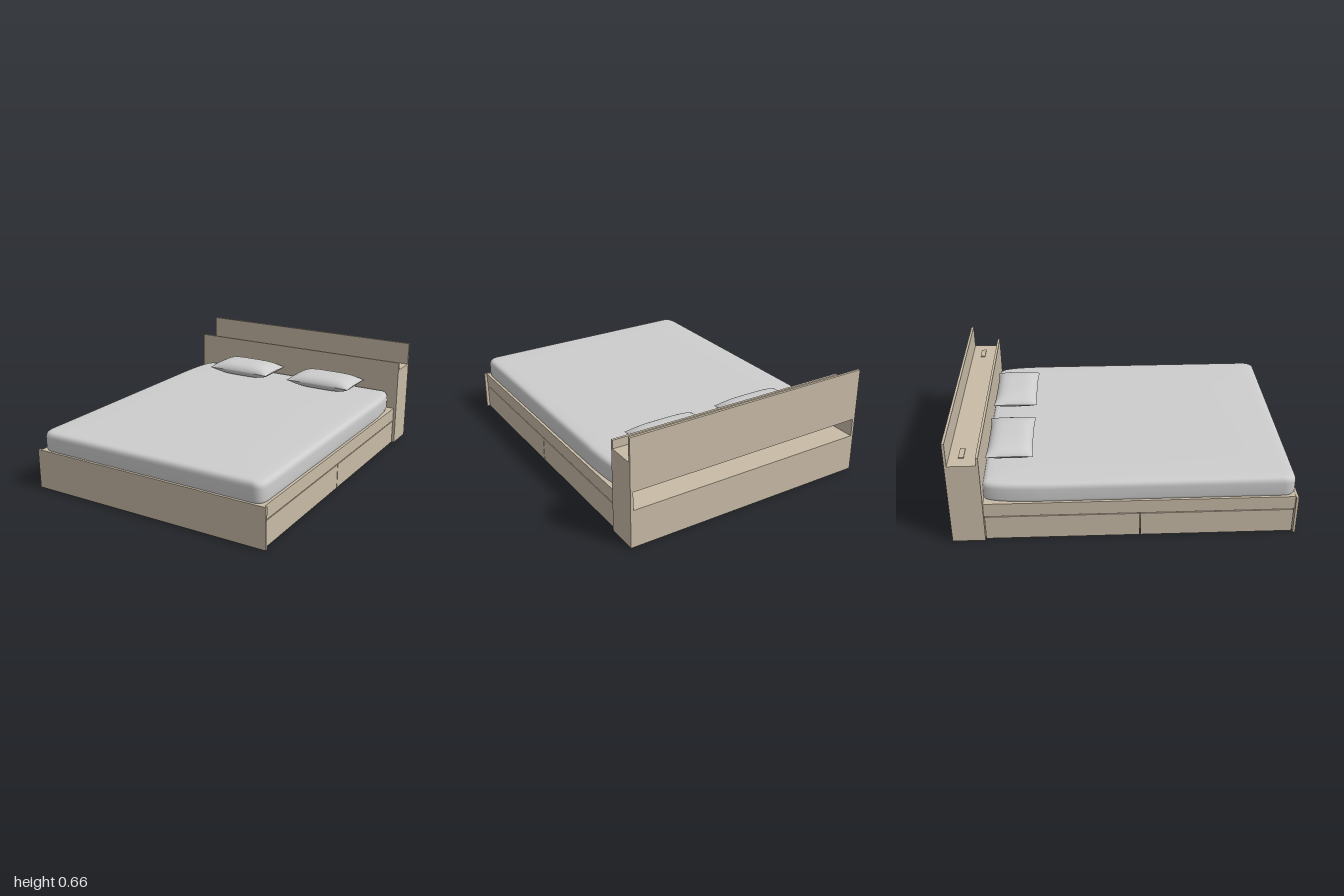
import * as THREE from 'three';
import { mergeGeometries } from 'three/addons/utils/BufferGeometryUtils.js';

const wood = new THREE.MeshStandardMaterial({ color: 0xc8bba6 });
wood.name = 'light wood';
const linen = new THREE.MeshStandardMaterial({ color: 0xcdcdcd });
linen.name = 'pale grey linen';

// Board given by its lower and upper limits on each axis
function board(parent, name, x0, x1, y0, y1, z0, z1) {
  const mesh = new THREE.Mesh(new THREE.BoxGeometry(x1 - x0, y1 - y0, z1 - z0), wood);
  mesh.position.set((x0 + x1) / 2, (y0 + y1) / 2, (z0 + z1) / 2);
  mesh.name = name;
  parent.add(mesh);
}

function group(parent, name) {
  const g = new THREE.Group();
  g.name = name;
  parent.add(g);
  return g;
}

// Storage headboard with a shelf on top and an open niche at the back
function addHeadboard(parent) {
  const g = group(parent, 'headboard');
  const W = 0.777, I = 0.76;
  board(g, 'headboardFrontPanel', -W, W, 0, 0.565, -0.825, -0.81);
  board(g, 'headboardBackLower', -W, W, 0, 0.23, -1, -0.985);
  board(g, 'headboardBackUpper', -W, W, 0.34, 0.66, -1, -0.985);
  board(g, 'headboardBase', -I, I, 0, 0.23, -0.985, -0.825);
  board(g, 'headboardShelf', -I, I, 0.34, 0.515, -0.985, -0.825);
  for (const s of [-1, 1]) {
    const a = s * I, b = s * W;
    const lo = Math.min(a, b), hi = Math.max(a, b);
    board(g, 'headboardSide', lo, hi, 0, 0.515, -0.985, -0.825);
    board(g, 'nicheEdge', lo, hi, 0.23, 0.34, -1, -0.985);
    board(g, 'shelfOutlet', s * 0.645 - 0.05, s * 0.645 + 0.05, 0.515, 0.521, -0.93, -0.9);
  }
}

// Open-bottomed drawer shell with a recessed floor
function addDrawer(parent, s, z0, z1) {
  const g = group(parent, 'drawer');
  const t = 0.014, inner = 0.005, outer = 0.76;
  const bx = (name, a, b, y0, y1, c, d) =>
    board(g, name, Math.min(s * a, s * b), Math.max(s * a, s * b), y0, y1, c, d);
  bx('drawerFront', outer - t, outer, 0, 0.152, z0, z1);
  bx('drawerBack', inner, inner + t, 0.004, 0.14, z0 + t, z1 - t);
  bx('drawerSide', inner, outer - t, 0.004, 0.14, z0, z0 + t);
  bx('drawerSide', inner, outer - t, 0.004, 0.14, z1 - t, z1);
  bx('drawerFloor', inner + t, outer - t, 0.026, 0.036, z0 + t, z1 - t);
}

// Mattress lofted from rounded outlines, pulled in toward a slightly crowned top
function mattressGeometry() {
  const w = 0.749, f = 0.9, h = 0.9;
  const shape = new THREE.Shape();
  shape.moveTo(w, -0.55);
  shape.lineTo(w, f - 0.07);
  shape.quadraticCurveTo(w, f, w - 0.06, f);
  shape.lineTo(-w + 0.06, f);
  shape.quadraticCurveTo(-w, f, -w, f - 0.07);
  shape.lineTo(-w, -0.55);
  shape.bezierCurveTo(-w, -0.78, -w + 0.02, -h, -w + 0.06, -h);
  shape.lineTo(w - 0.06, -h);
  shape.bezierCurveTo(w - 0.02, -h, w, -0.78, w, -0.55);
  const outline = shape.getPoints(10);
  outline.pop();
  const rings = [[0.006, 0.242], [0, 0.26], [0, 0.325], [0.002, 0.34], [0.007, 0.351],
    [0.016, 0.359], [0.03, 0.363], [0.07, 0.366], [0.2, 0.369], [0.45, 0.37]];
  const pos = [], idx = [], n = outline.length;
  for (const [inset, y] of rings) {
    for (const p of outline) pos.push(p.x * (1 - inset / w), y, 0.087 + p.y * (1 - inset / f));
  }
  pos.push(0, 0.37, 0.087);
  const top = rings.length * n;
  for (let i = 0; i < n; i++) {
    const j = (i + 1) % n;
    for (let r = 0; r < rings.length - 1; r++) {
      const a = r * n + i, b = r * n + j;
      idx.push(a, a + n, b, b, a + n, b + n);
    }
    idx.push(top - n + i, top, top - n + j);
  }
  const geo = new THREE.BufferGeometry();
  geo.setAttribute('position', new THREE.Float32BufferAttribute(pos, 3));
  geo.setIndex(idx);
  geo.computeVertexNormals();
  return geo;
}

// Pillow: two puffed sheets meeting at a seam with pulled-out corners
function pillowGeometry() {
  const half = new THREE.PlaneGeometry(2, 2, 32, 24).rotateX(-Math.PI / 2);
  const p = half.attributes.position;
  for (let i = 0; i < p.count; i++) {
    const u = Math.sin(p.getX(i) * Math.PI / 2), v = Math.sin(p.getZ(i) * Math.PI / 2);
    const puff = Math.max(0, (1 - u ** 4) * (1 - v ** 4)) ** 0.7;
    p.setXYZ(i, 0.228 * u * (1 - 0.03 * (1 - v * v) * u * u), 0.047 * puff,
      0.139 * v * (1 - 0.05 * (1 - u ** 4) * v * v));
  }
  half.computeVertexNormals();
  return mergeGeometries([half, half.clone().rotateX(Math.PI)]);
}

export function createModel() {
  const bed = new THREE.Group();
  bed.name = 'storageBed';
  addHeadboard(bed);

  // Frame and footboard
  board(bed, 'footboard', -0.777, 0.777, 0, 0.245, 0.985, 1);
  board(bed, 'bedFrame', -0.76, 0.76, 0.157, 0.243, -0.81, 0.985);

  // Two drawers on each side
  for (const s of [-1, 1]) {
    addDrawer(bed, s, -0.807, 0.085);
    addDrawer(bed, s, 0.09, 0.981);
  }

  // Bedding
  const mattress = new THREE.Mesh(mattressGeometry(), linen);
  mattress.name = 'mattress';
  bed.add(mattress);
  const pillowGeo = pillowGeometry();
  for (const s of [-1, 1]) {
    const pillow = new THREE.Mesh(pillowGeo, linen);
    pillow.name = 'pillow';
    pillow.position.set(s * 0.309, 0.413, -0.666);
    bed.add(pillow);
  }
  return bed;
}
